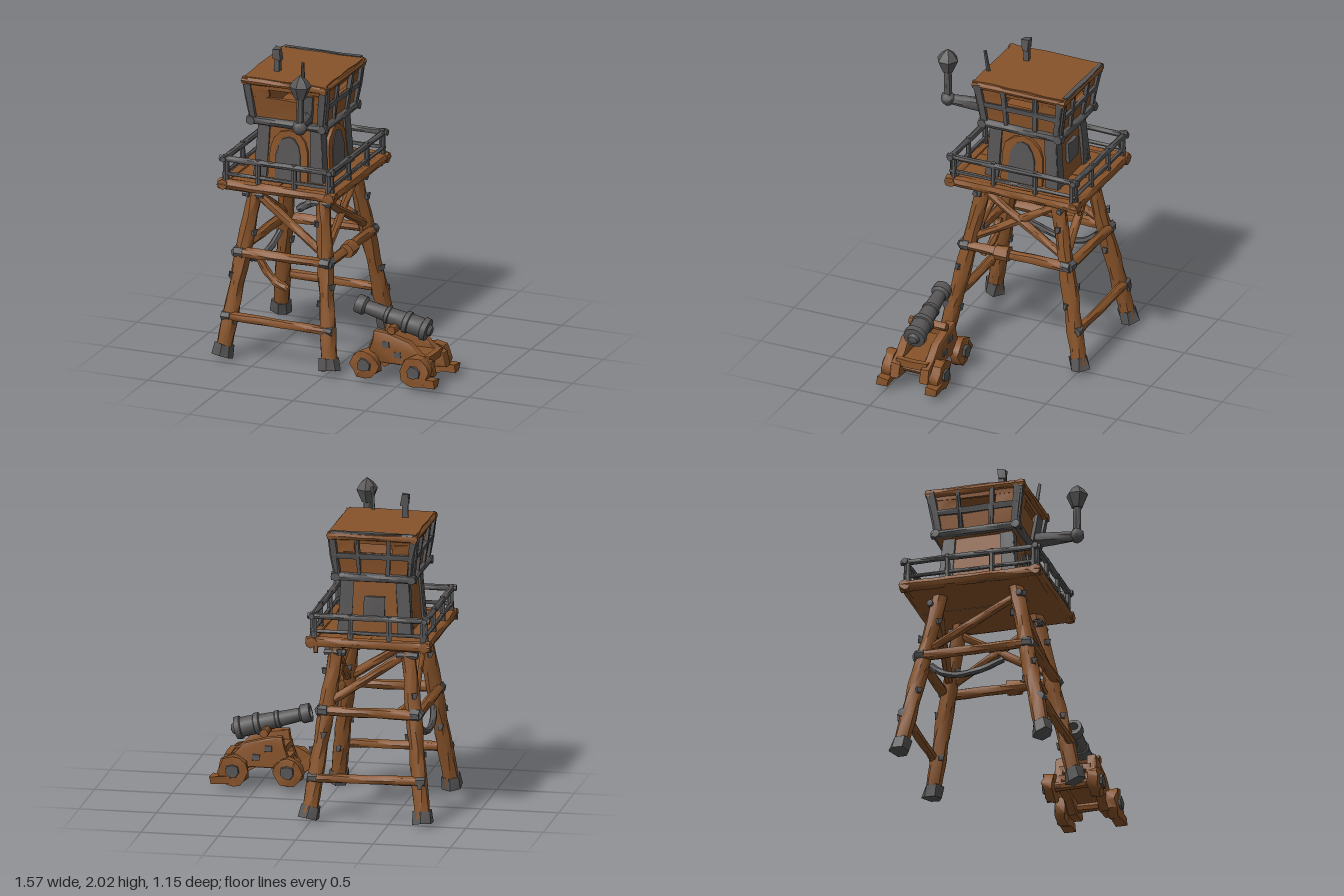
import * as THREE from 'three';
import { toCreasedNormals } from 'three/addons/utils/BufferGeometryUtils.js';

const wood = new THREE.MeshStandardMaterial({ color: 0x87532a });
wood.name = 'brown wood';
const iron = new THREE.MeshStandardMaterial({ color: 0x575556 });
iron.name = 'dark iron';

const CX = -0.365, CZ = -0.035; // tower axis
const V = (x, y, z) => new THREE.Vector3(x, y, z);
const mix = (a, b, t) => a + (b - a) * t;

// Repeatable noise, equal for coincident vertices
function noise(x, y, z, k) {
  const s = Math.sin(Math.round(x * 1e3) * 12.99 + Math.round(y * 1e3) * 78.23 + Math.round(z * 1e3) * 37.72 + k * 5.1) * 43758.5;
  return s - Math.floor(s) - 0.5;
}

// Hand-hewn look: nudge the vertices, keep sharp edges sharp
function rough(geo, amount, crease = 0.7) {
  const p = geo.attributes.position;
  for (let i = 0; i < p.count; i++) {
    const x = p.getX(i), y = p.getY(i), z = p.getZ(i);
    p.setXYZ(i, x + amount * noise(x, y, z, 1), y + amount * noise(x, y, z, 2), z + amount * noise(x, y, z, 3));
  }
  return toCreasedNormals(geo, crease);
}

function add(group, name, geo, mat) {
  const mesh = new THREE.Mesh(geo, mat);
  mesh.name = name;
  group.add(mesh);
  return mesh;
}

// Round timber or bar between two points
function beam(group, name, a, b, r0, r1, mat, sides = 8) {
  const len = a.distanceTo(b);
  const geo = new THREE.CylinderGeometry(r1, r0, len, sides, Math.max(1, Math.round(len / 0.11)));
  const mesh = add(group, name, rough(geo, r0 * 0.22), mat);
  mesh.position.copy(a).lerp(b, 0.5);
  mesh.quaternion.setFromUnitVectors(V(0, 1, 0), b.clone().sub(a).normalize());
  return mesh;
}

function box(group, name, w, h, d, x, y, z, mat, amount = 0.008) {
  const mesh = add(group, name, rough(new THREE.BoxGeometry(w, h, d, Math.ceil(w / 0.15), 1, Math.ceil(d / 0.15)), amount), mat);
  mesh.position.set(x, y, z);
  return mesh;
}

function bent(group, name, pts, r, mat) {
  const curve = new THREE.CatmullRomCurve3(pts);
  add(group, name, rough(new THREE.TubeGeometry(curve, 10, r, 7), r * 0.25), mat).material.side = THREE.DoubleSide;
}

// Places (u, y, depth) geometry on one side of a sloped tower; u runs -1..1
function onSide(geo, side, halfW, halfD) {
  const p = geo.attributes.position;
  for (let i = 0; i < p.count; i++) {
    const u = p.getX(i), y = p.getY(i), d = p.getZ(i), w = halfW(y), e = halfD(y);
    if (side === 0) p.setXYZ(i, CX + u * w, y, CZ + e + d);
    else if (side === 1) p.setXYZ(i, CX + w + d, y, CZ - u * e);
    else if (side === 2) p.setXYZ(i, CX - u * w, y, CZ - e - d);
    else p.setXYZ(i, CX - w - d, y, CZ + u * e);
  }
  return rough(geo, 0.008);
}
function panel(group, name, side, u0, u1, y0, y1, d0, d1, prof, mat) {
  const geo = new THREE.BoxGeometry(u1 - u0, y1 - y0, d1 - d0, 3, 2, 1);
  geo.translate((u0 + u1) / 2, (y0 + y1) / 2, (d0 + d1) / 2);
  add(group, name, onSide(geo, side, prof.w, prof.d), mat);
}
function arch(group, name, side, half, y0, y1, d0, depth, prof, mat) {
  const s = new THREE.Shape(), spring = mix(y0, y1, 0.6);
  s.moveTo(-half, y0).lineTo(half, y0).lineTo(half, spring);
  for (let i = 1; i <= 6; i++) {
    const a = i * Math.PI / 6;
    s.lineTo(half * Math.cos(a), spring + (y1 - spring) * Math.sin(a));
  }
  const geo = new THREE.ExtrudeGeometry(s, { depth, bevelEnabled: false });
  geo.translate(0, 0, d0);
  add(group, name, onSide(geo, side, prof.w, prof.d), mat);
}

// Four bars around a rectangle, with a little overhang
function ring(group, name, x0, x1, z0, z1, y, r, over, mat) {
  for (const z of [z0, z1]) beam(group, name, V(x0 - over, y, z), V(x1 + over, y, z), r, r, mat);
  for (const x of [x0, x1]) beam(group, name, V(x, y, z0 - over), V(x, y, z1 + over), r, r, mat);
}

function part(parent, name) {
  const g = new THREE.Group();
  g.name = name;
  parent.add(g);
  return g;
}

// Leg centre line; sx, sz are -1 or 1
const legX = (sx, y) => CX + sx * mix(0.37, 0.225, y / 1.12) + 0.01;
const legZ = (sz, y) => CZ + sz * mix(0.475, 0.25, y / 1.12);
const leg = (sx, sz, y) => V(legX(sx, y), y, legZ(sz, y));

function buildLegs(root) {
  const g = part(root, 'trestle');
  for (const sx of [-1, 1]) for (const sz of [-1, 1]) {
    beam(g, 'leg', leg(sx, sz, 0.03), leg(sx, sz, 1.13), 0.053, 0.048, wood, 9);
    const f = leg(sx, sz, 0);
    beam(g, 'foot', V(f.x, 0.003, f.z), leg(sx, sz, 0.08), 0.067, 0.06, iron, 6);
    // Iron studs scattered up the leg
    [0.24, 0.42, 0.53, 0.8, 0.92, 1.05].forEach((y, i) => {
      const a = i * 2.2 + sx + sz * 2, c = leg(sx, sz, y);
      const stud = box(g, 'stud', 0.035, 0.04, 0.03, c.x + 0.045 * Math.sin(a), y, c.z + 0.045 * Math.cos(a), iron, 0.015);
      stud.rotation.y = a;
    });
  }
  // Cross beams with iron ends
  const tie = (a, b, r) => {
    const dir = b.clone().sub(a).normalize();
    beam(g, 'crossBeam', a, b, r, r * 0.95, wood);
    beam(g, 'beamEnd', a.clone().addScaledVector(dir, -0.045), a.clone().addScaledVector(dir, 0.015), r * 1.08, r * 1.15, iron, 7);
    beam(g, 'beamEnd', b.clone().addScaledVector(dir, -0.015), b.clone().addScaledVector(dir, 0.045), r * 1.15, r * 1.08, iron, 7);
  };
  for (const s of [-1, 1]) {
    const oz = V(0, 0, s * 0.03), ox = V(s * 0.03, 0, 0);
    tie(leg(-1, s, 0.68).add(oz), leg(1, s, 0.68).add(oz), 0.034);
    tie(leg(-1, s, 0.27).add(oz), leg(1, s, 0.26).add(oz), 0.03);
    tie(leg(s, -1, 0.68).add(ox), leg(s, 1, 0.68).add(ox), 0.034);
    beam(g, 'brace', leg(-1, s, 1.06), leg(1, s, 0.72), 0.028, 0.028, wood);
    beam(g, 'brace', leg(s, -1, 0.72), leg(s, 1, 1.06), 0.028, 0.028, wood);
    for (const t of [-1, 1]) { // stubs at the brace tops
      const c = leg(s, t, 1.05);
      beam(g, 'braceStub', V(c.x - 0.07, 1.05, c.z + t * 0.03), V(c.x + 0.07, 1.05, c.z + t * 0.03), 0.022, 0.02, iron, 6);
    }
  }
  beam(g, 'brace', leg(1, -1, 1.06), leg(1, 1, 0.72), 0.028, 0.028, wood);
  beam(g, 'beamWrap', V(-0.02, 0.69, 0), V(-0.02, 0.69, 0.09), 0.052, 0.05, wood);
  // Broken, hanging braces
  bent(g, 'brokenBrace', [V(-0.52, 0.65, 0.31), V(-0.47, 0.56, 0.31), V(-0.4, 0.5, 0.32), V(-0.33, 0.48, 0.33)], 0.026, wood);
  bent(g, 'saggingBrace', [V(-0.66, 0.59, 0.16), V(-0.68, 0.53, 0.02), V(-0.68, 0.51, -0.12), V(-0.67, 0.54, -0.24), V(-0.65, 0.61, -0.32)], 0.022, iron);
  bent(g, 'brokenStub', [V(-0.1, 1.07, 0.24), V(-0.2, 1.04, 0.25), V(-0.28, 0.99, 0.25)], 0.026, iron);
}

function buildDeck(root) {
  const g = part(root, 'deck');
  const x0 = -0.73, x1 = 0, z0 = -0.465, z1 = 0.395;
  for (const s of [-1, 1]) box(g, 'deckBoards', 0.373, 0.05, 0.86, CX + s * 0.189, 1.14, CZ, wood, 0.006);
  ring(g, 'edgeLog', x0, x1, z0, z1, 1.147, 0.036, 0.035, wood);
  ring(g, 'topRail', x0, x1, z0, z1, 1.315, 0.02, 0.03, iron);
  ring(g, 'lowerRail', x0, x1, z0, z1, 1.215, 0.013, 0.01, iron);
  for (const t of [0.02, 0.32, 0.66, 0.98]) {
    const x = mix(x0, x1, t), z = mix(z0, z1, t);
    for (const e of [z0, z1]) beam(g, 'railPost', V(x, 1.15, e), V(x, 1.335, e), 0.02, 0.018, iron, 6);
    for (const e of [x0, x1]) beam(g, 'railPost', V(e, 1.15, z), V(e, 1.335, z), 0.02, 0.018, iron, 6);
  }
  beam(g, 'splinteredEnd', V(-0.02, 1.17, -0.46), V(-0.03, 1.08, -0.49), 0.02, 0.015, wood, 6);
}

function buildCabin(root) {
  const g = part(root, 'cabin');
  const low = { w: y => mix(0.225, 0.2, (y - 1.16) / 0.36), d: y => mix(0.24, 0.215, (y - 1.16) / 0.36) };
  const top = { w: y => mix(0.24, 0.275, (y - 1.55) / 0.27), d: y => mix(0.26, 0.3, (y - 1.55) / 0.27) };
  for (let s = 0; s < 4; s++) {
    // Lower room
    panel(g, 'lowerWall', s, -1, 1, 1.15, 1.53, -0.03, 0, low, wood);
    panel(g, 'cornerBoard', s, -1.06, -0.68, 1.16, 1.52, -0.01, 0.016, low, iron);
    panel(g, 'cornerBoard', s, 0.68, 1.06, 1.16, 1.52, -0.01, 0.016, low, iron);
    if (s < 2) {
      arch(g, 'doorFrame', s, 0.62, 1.16, 1.49, 0, 0.02, low, wood);
      arch(g, 'door', s, 0.38, 1.16, 1.45, 0.01, 0.018, low, iron);
    }
    if (s === 2) panel(g, 'shutter', s, -0.32, 0.32, 1.28, 1.41, 0, 0.025, low, iron);
    // Upper lookout room with a window slit on each side
    panel(g, 'upperWall', s, -1, 1, 1.54, 1.705, -0.025, 0, top, wood);
    panel(g, 'windowHeader', s, -1, 1, 1.765, 1.82, -0.025, 0, top, wood);
    for (const e of [-1, 1]) {
      panel(g, 'windowSide', s, Math.min(e * 0.45, e), Math.max(e * 0.45, e), 1.705, 1.765, -0.025, 0, top, wood);
      panel(g, 'cornerPost', s, e * 0.96 - 0.08, e * 0.96 + 0.08, 1.54, 1.82, -0.01, 0.02, top, iron);
      if (s) panel(g, 'windowPost', s, e * 0.38 - 0.05, e * 0.38 + 0.05, 1.55, 1.81, -0.005, 0.018, top, iron);
    }
    if (s) panel(g, 'windowSill', s, -1, 1, 1.665, 1.7, -0.005, 0.018, top, iron);
  }
  panel(g, 'frontPlate', 0, 0.3, 0.72, 1.57, 1.755, 0, 0.02, top, iron);
  box(g, 'upperFloor', 0.5, 0.04, 0.54, CX, 1.535, CZ, wood);
  ring(g, 'floorBeam', CX - 0.245, CX + 0.245, CZ - 0.265, CZ + 0.265, 1.54, 0.028, 0.03, iron);
  // Roof
  box(g, 'roof', 0.56, 0.035, 0.63, CX, 1.825, CZ, wood);
  ring(g, 'roofEdge', CX - 0.27, CX + 0.27, CZ - 0.305, CZ + 0.305, 1.815, 0.025, 0.02, wood);
  box(g, 'roofStrip', 0.53, 0.012, 0.03, CX, 1.842, -0.35, iron);
  // Chimney and leaning pole
  box(g, 'chimney', 0.035, 0.1, 0.035, -0.49, 1.88, 0.1, iron);
  box(g, 'chimneyCap', 0.055, 0.07, 0.055, -0.49, 1.955, 0.1, iron, 0.02);
  beam(g, 'pole', V(-0.25, 1.83, 0.255), V(-0.24, 1.985, 0.275), 0.014, 0.011, iron, 6);
}

function buildLamp(root) {
  const g = part(root, 'lamp');
  beam(g, 'arm', V(-0.235, 1.6, 0.24), V(-0.17, 1.625, 0.48), 0.05, 0.03, iron);
  const elbow = add(g, 'elbow', rough(new THREE.IcosahedronGeometry(0.048, 1), 0.006), iron);
  elbow.position.set(-0.165, 1.63, 0.5);
  beam(g, 'stem', V(-0.165, 1.62, 0.5), V(-0.162, 1.85, 0.5), 0.026, 0.024, iron);
  const pts = [[0, 1.815], [0.035, 1.825], [0.072, 1.91], [0.045, 1.95], [0, 1.985]].map(p => new THREE.Vector2(...p));
  const head = add(g, 'lampHead', toCreasedNormals(new THREE.LatheGeometry(pts, 6), 0.4), iron);
  head.position.set(-0.162, 0, 0.5);
}

function buildCannon(root) {
  const g = part(root, 'cannon'), cz = 0.345;
  // Barrel: closed profile with a hollow muzzle
  const pts = [[0, -0.03], [0.03, -0.02], [0.04, 0], [0.073, 0.005], [0.076, 0.04], [0.064, 0.045], [0.064, 0.13], [0.072, 0.135], [0.072, 0.165],
    [0.058, 0.17], [0.053, 0.27], [0.058, 0.275], [0.058, 0.295], [0.049, 0.3], [0.044, 0.43], [0.062, 0.445], [0.06, 0.5], [0.036, 0.503], [0.032, 0.44], [0, 0.44]];
  const barrel = add(g, 'barrel', toCreasedNormals(new THREE.LatheGeometry(pts.map(p => new THREE.Vector2(...p)), 12), 0.6), iron);
  barrel.position.set(0.66, 0.335, cz + 0.005);
  barrel.quaternion.setFromUnitVectors(V(0, 1, 0), V(-0.48, 0.125, 0.02).normalize());
  // Carriage cheeks
  const s = new THREE.Shape([[0.27, 0.1], [0.33, 0.26], [0.34, 0.32], [0.42, 0.31], [0.57, 0.27], [0.64, 0.2], [0.72, 0.16], [0.74, 0.08], [0.62, 0.07], [0.54, 0.13], [0.38, 0.13]].map(p => new THREE.Vector2(...p)));
  for (const e of [-1, 1]) {
    const geo = new THREE.ExtrudeGeometry(s, { depth: 0.05, bevelEnabled: true, bevelSize: 0.008, bevelThickness: 0.006, bevelSegments: 1 });
    geo.translate(0, 0, cz + e * 0.105 - 0.025);
    add(g, 'cheek', rough(geo, 0.006), wood);
    for (const [x, y] of [[0.42, 0.25], [0.5, 0.19]]) box(g, 'cheekPlate', 0.045, 0.04, 0.012, x, y, cz + e * 0.137, iron);
    // Wheels and iron hubs
    for (const [x, z, r] of [[0.29, 0.155, 0.098], [0.64, 0.175, 0.1]]) {
      beam(g, 'wheel', V(x, 0.107, cz + e * (z - 0.037)), V(x, 0.107, cz + e * (z + 0.025)), r, r * 0.95, wood, 12);
      beam(g, 'hub', V(x, 0.11, cz + e * z), V(x, 0.11, cz + e * (z + 0.04)), 0.05, 0.042, iron, 7);
    }
    box(g, 'tailBlock', 0.13, 0.05, 0.08, 0.715, 0.045, cz + e * 0.17, wood, 0.012);
  }
  for (const x of [0.29, 0.64]) beam(g, 'axle', V(x, 0.11, cz - 0.15), V(x, 0.11, cz + 0.15), 0.03, 0.03, wood);
  box(g, 'bed', 0.4, 0.035, 0.2, 0.49, 0.17, cz, wood);
  beam(g, 'trunnion', V(0.45, 0.345, cz - 0.13), V(0.45, 0.345, cz + 0.13), 0.028, 0.028, wood);
  box(g, 'rearCrossbar', 0.04, 0.05, 0.22, 0.69, 0.17, cz, wood);
  box(g, 'frontCrossbar', 0.04, 0.045, 0.2, 0.33, 0.24, cz, wood);
}

export function createModel() {
  const root = new THREE.Group();
  root.name = 'watchtowerWithCannon';
  buildLegs(root);
  buildDeck(root);
  buildCabin(root);
  buildLamp(root);
  buildCannon(root);
  return root;
}
